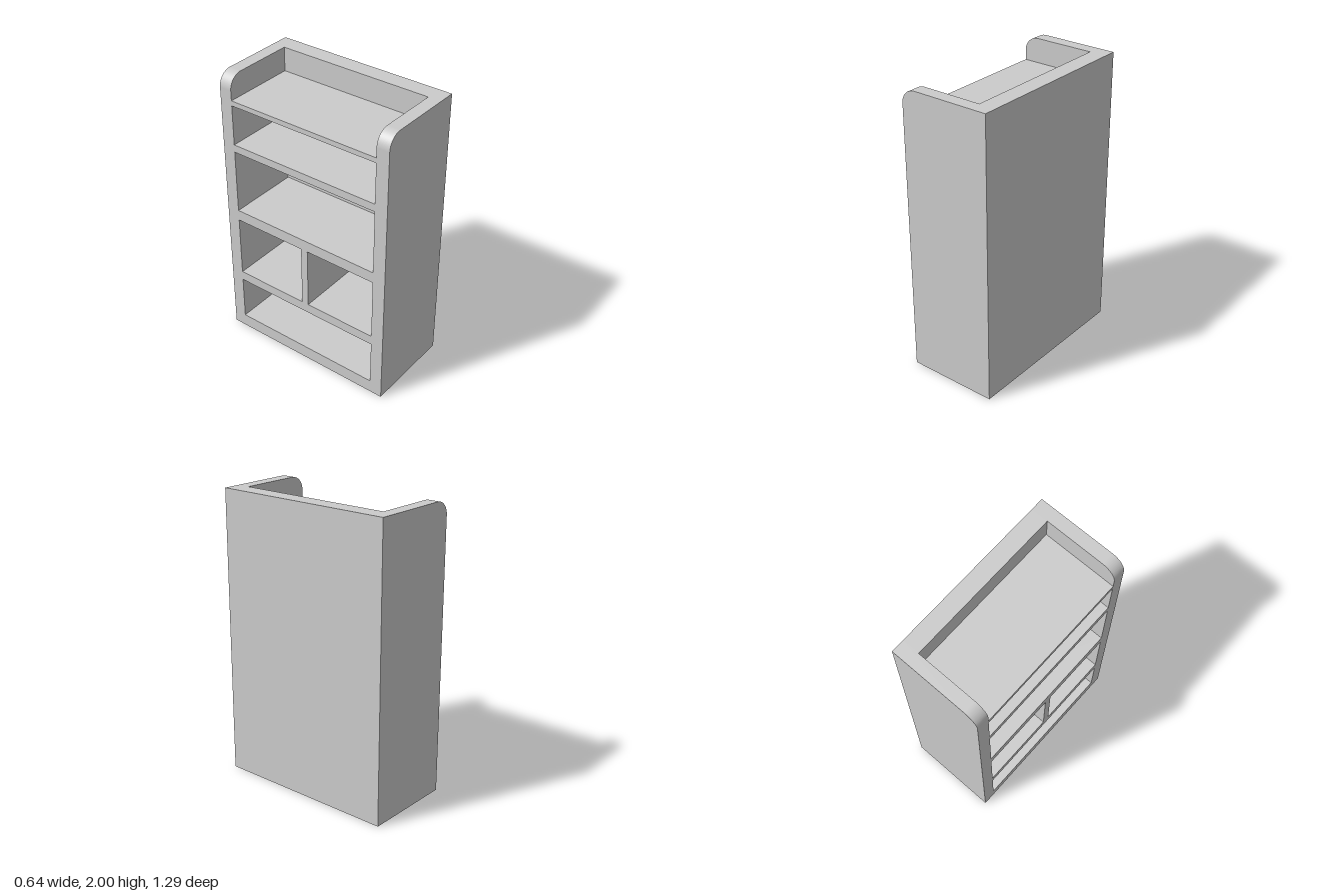
import * as THREE from 'three';

const X = 0.32, Z = 0.643, H = 2;   // half depth, half width, height
const WALL = 0.09, BACK_X = 0.2, R = 0.1;
const INNER = Z - WALL;

export function createModel() {
  const group = new THREE.Group();
  const mat = new THREE.MeshStandardMaterial({ color: 0xcccccc });

  const add = (name, geo) => {
    const mesh = new THREE.Mesh(geo, mat);
    mesh.name = name;
    group.add(mesh);
    return mesh;
  };

  // Box given by its minimum and maximum along each axis
  const slab = (name, x0, x1, y0, y1, z0, z1) =>
    add(name, new THREE.BoxGeometry(x1 - x0, y1 - y0, z1 - z0))
      .position.set((x0 + x1) / 2, (y0 + y1) / 2, (z0 + z1) / 2);

  // Side panels, rounded at the top of the open edge (-x)
  const profile = new THREE.Shape();
  profile.moveTo(-X, 0);
  profile.lineTo(X, 0);
  profile.lineTo(X, H);
  profile.lineTo(-X + R, H);
  profile.absarc(-X + R, H - R, R, Math.PI / 2, Math.PI, false);
  profile.closePath();
  const side = new THREE.ExtrudeGeometry(profile, { depth: WALL, bevelEnabled: false, curveSegments: 12 });
  add('frontSidePanel', side).position.z = INNER;
  add('rearSidePanel', side).position.z = -Z;

  // Thick back wall between the sides
  slab('backPanel', BACK_X, X, 0, H, -INNER, INNER);

  // Shelves as [bottom, top], flush with the open edge
  const shelves = [[0, 0.093], [0.418, 0.487], [0.927, 1.005], [1.46, 1.514], [1.797, 1.832]];
  shelves.forEach(([y0, y1], i) => slab(`shelf${i + 1}`, -X, BACK_X, y0, y1, -INNER, INNER));

  // Upright divider in the second compartment
  slab('divider', -X, BACK_X, shelves[1][1], shelves[2][0], -0.017, 0.034);

  return group;
}
